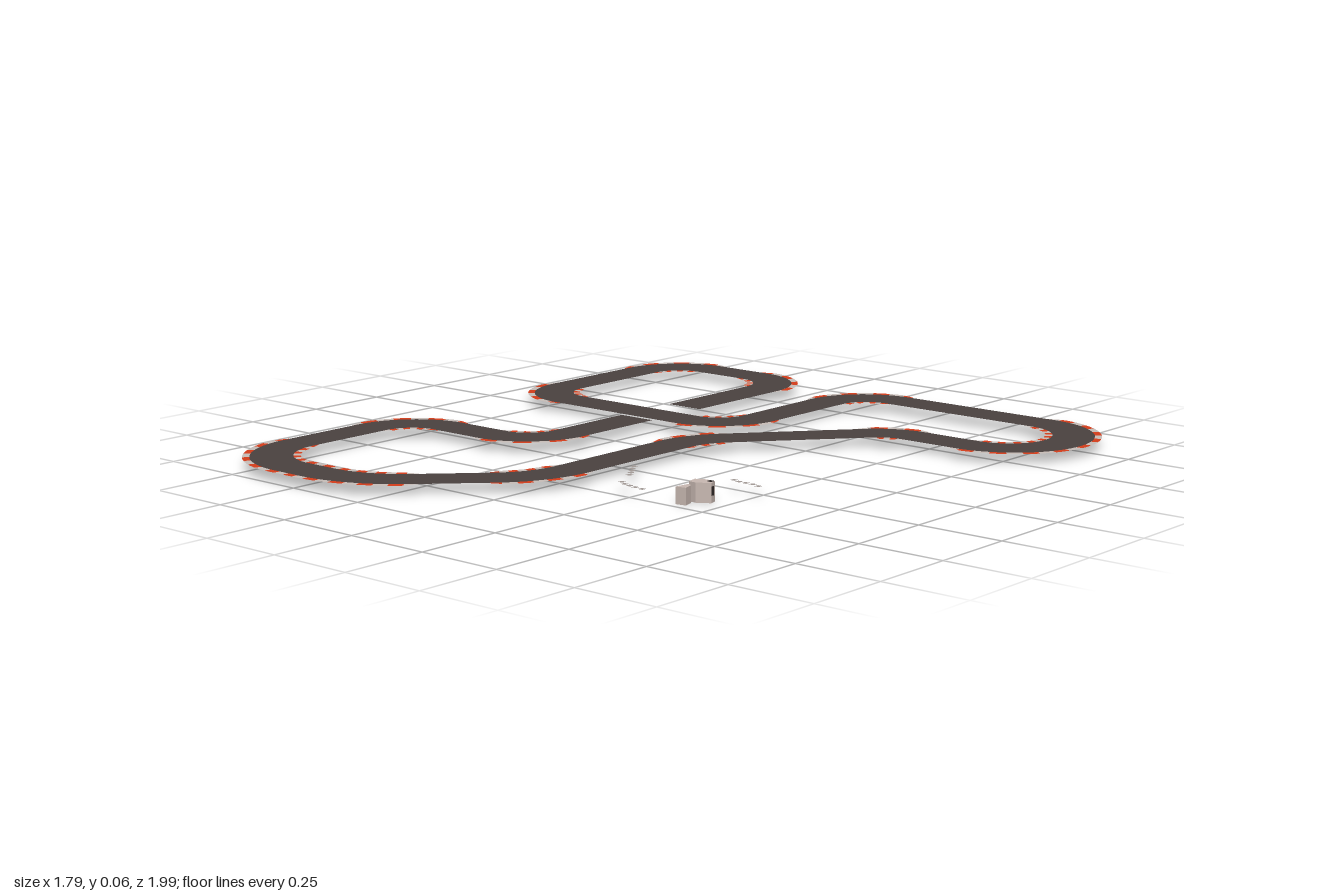
import * as THREE from 'three';
import { mergeGeometries } from 'three/addons/utils/BufferGeometryUtils.js';

const LEVEL = 0.03;   // height of the flat track surface
const HALF = 0.06;    // half the road width
const KERB = 0.02;    // kerb width

// Track corners: x, z, tangent length of the rounded bend (0 at the two ends)
const CORNERS = [
  [-0.328, -0.397, 0], [-0.328, -0.918, 0.15], [-0.817, -0.918, 0.15], [-0.817, -0.257, 0.15],
  [-0.05, -0.257, 0.15], [-0.05, -0.891, 0.15], [0.818, -0.891, 0.194], [0.818, -0.503, 0.194],
  [0.369, -0.503, 0.07], [-0.003, -0.063, 0.085], [-0.003, 0.569, 0.12], [-0.352, 0.918, 0.15],
  [-0.817, 0.918, 0.215], [-0.817, 0.265, 0.155], [-0.328, 0.265, 0.155], [-0.328, -0.183, 0],
];

// Centre line of straights and arcs, plus the [start, end] lengths of the bends
function buildPath() {
  const pts = CORNERS.map(([x, z]) => new THREE.Vector2(x, z));
  const path = new THREE.CurvePath();
  const bends = [];
  let from = pts[0], length = 0;
  const add = (curve) => { path.add(curve); length += curve.getLength(); };
  for (let i = 1; i < pts.length; i++) {
    const t = CORNERS[i][2];
    const d0 = pts[i].clone().sub(pts[i - 1]).normalize();
    const a = pts[i].clone().addScaledVector(d0, -t);
    if (a.distanceTo(from) > 0.005) add(new THREE.LineCurve(from, a));
    if (!t) break;
    const d1 = pts[i + 1].clone().sub(pts[i]).normalize();
    const b = pts[i].clone().addScaledVector(d1, t);
    const turn = Math.sign(d0.cross(d1));
    const r = t / Math.tan(Math.acos(d0.dot(d1)) / 2);
    const c = a.clone().add(new THREE.Vector2(-d0.y, d0.x).multiplyScalar(turn * r));
    const start = length;
    add(new THREE.EllipseCurve(c.x, c.y, r, r, Math.atan2(a.y - c.y, a.x - c.x),
      Math.atan2(b.y - c.y, b.x - c.x), turn < 0));
    const last = bends[bends.length - 1];
    if (last && start - last[1] < 0.14 && (i === 7 || i === 12)) last[1] = length;
    else bends.push([start, length]);
    from = b;
  }
  return { path, length, bends };
}

// Flat ribbon along the path between two sideways offsets
function ribbon(track, s0, s1, steps, offsets) {
  const pos = [], normal = [], index = [];
  for (let i = 0; i <= steps; i++) {
    const s = s0 + (s1 - s0) * i / steps;
    const u = THREE.MathUtils.clamp(s / track.length, 0, 1);
    const p = track.path.getPoint(u), d = track.path.getTangent(u);
    for (const o of offsets(s)) {
      pos.push(p.x - d.y * o, LEVEL, p.y + d.x * o);
      normal.push(0, 1, 0);
    }
    if (i < steps) {
      const k = 2 * i;
      index.push(k, k + 1, k + 2, k + 1, k + 3, k + 2);
    }
  }
  const g = new THREE.BufferGeometry();
  g.setAttribute('position', new THREE.Float32BufferAttribute(pos, 3));
  g.setAttribute('normal', new THREE.Float32BufferAttribute(normal, 3));
  g.setIndex(index);
  return g;
}

// Upright block with a polygon footprint given as x, z
function block(points, height) {
  const shape = new THREE.Shape(points.map(([x, z]) => new THREE.Vector2(x, -z)));
  return new THREE.ExtrudeGeometry(shape, { depth: height, bevelEnabled: false }).rotateX(-Math.PI / 2);
}

export function createModel() {
  const group = new THREE.Group();
  const material = (name, color, side = THREE.FrontSide) => {
    const m = new THREE.MeshStandardMaterial({ color, side });
    m.name = name;
    return m;
  };
  const asphalt = material('asphalt', 0x4a4240, THREE.DoubleSide);
  const red = material('kerbRed', 0xd63c1a, THREE.DoubleSide);
  const pale = material('kerbPale', 0xc8beb9, THREE.DoubleSide);
  const grey = material('markerGrey', 0xa39a96, THREE.DoubleSide);
  const stone = material('stone', 0xc9b9b2);
  const dark = material('darkOpening', 0x2c2625);
  const add = (name, geometry, mat, parent = group) => {
    const mesh = new THREE.Mesh(geometry, mat);
    mesh.name = name;
    parent.add(mesh);
    return mesh;
  };

  // Road
  const track = buildPath();
  add('road', ribbon(track, 0, track.length, 800, () => [-HALF, HALF]), asphalt);

  // Striped kerbs on both sides of every bend, tapering into the road edge
  const stripes = [[], []];
  for (const [start, end] of track.bends) {
    const s0 = start - 0.02, s1 = end + 0.02;
    const count = Math.max(5, Math.round((s1 - s0) / 0.035));
    const width = (s) => KERB * Math.min(1, 0.15 + Math.min(s - s0, s1 - s) / 0.05);
    for (let i = 0; i < count; i++) {
      const a = s0 + (s1 - s0) * i / count, b = s0 + (s1 - s0) * (i + 1) / count;
      stripes[i % 2].push(
        ribbon(track, a, b, 4, (s) => [HALF, HALF + width(s)]),
        ribbon(track, a, b, 4, (s) => [-HALF - width(s), -HALF]));
    }
  }
  add('paleKerbs', mergeGeometries(stripes[0]), pale);
  add('redKerbs', mergeGeometries(stripes[1]), red);

  // Three rows of small flat markers
  const rows = [
    [[0.1, 0.312], [0.115, 0.335], [0.132, 0.355], [0.145, 0.375], [0.16, 0.397]],
    [[0.2, 0.472], [0.222, 0.486], [0.245, 0.492], [0.268, 0.496], [0.295, 0.5]],
    [[0.41, 0.263], [0.433, 0.27], [0.456, 0.27], [0.48, 0.27], [0.505, 0.278]],
  ];
  rows.forEach((row, i) => {
    const tiles = row.map(([x, z]) =>
      new THREE.PlaneGeometry(0.016, 0.016).rotateX(-Math.PI / 2).translate(x, LEVEL, z));
    add(`markerRow${i + 1}`, mergeGeometries(tiles), grey);
  });

  // Trackside hut: main block, annex and dark openings
  const hut = new THREE.Group();
  hut.name = 'hut';
  group.add(hut);
  add('mainBlock', block([[0.39, 0.4], [0.408, 0.386], [0.448, 0.386], [0.455, 0.41],
    [0.42, 0.432], [0.396, 0.43]], 0.054), stone, hut);
  add('annex', block([[0.397, 0.432], [0.412, 0.44], [0.421, 0.472], [0.39, 0.477]], 0.047), stone, hut);
  add('doorway', new THREE.BoxGeometry(0.004, 0.024, 0.009), dark, hut).position.set(0.454, 0.032, 0.405);
  add('roofHatch', new THREE.BoxGeometry(0.012, 0.003, 0.012), dark, hut).position.set(0.441, 0.054, 0.396);
  return group;
}
